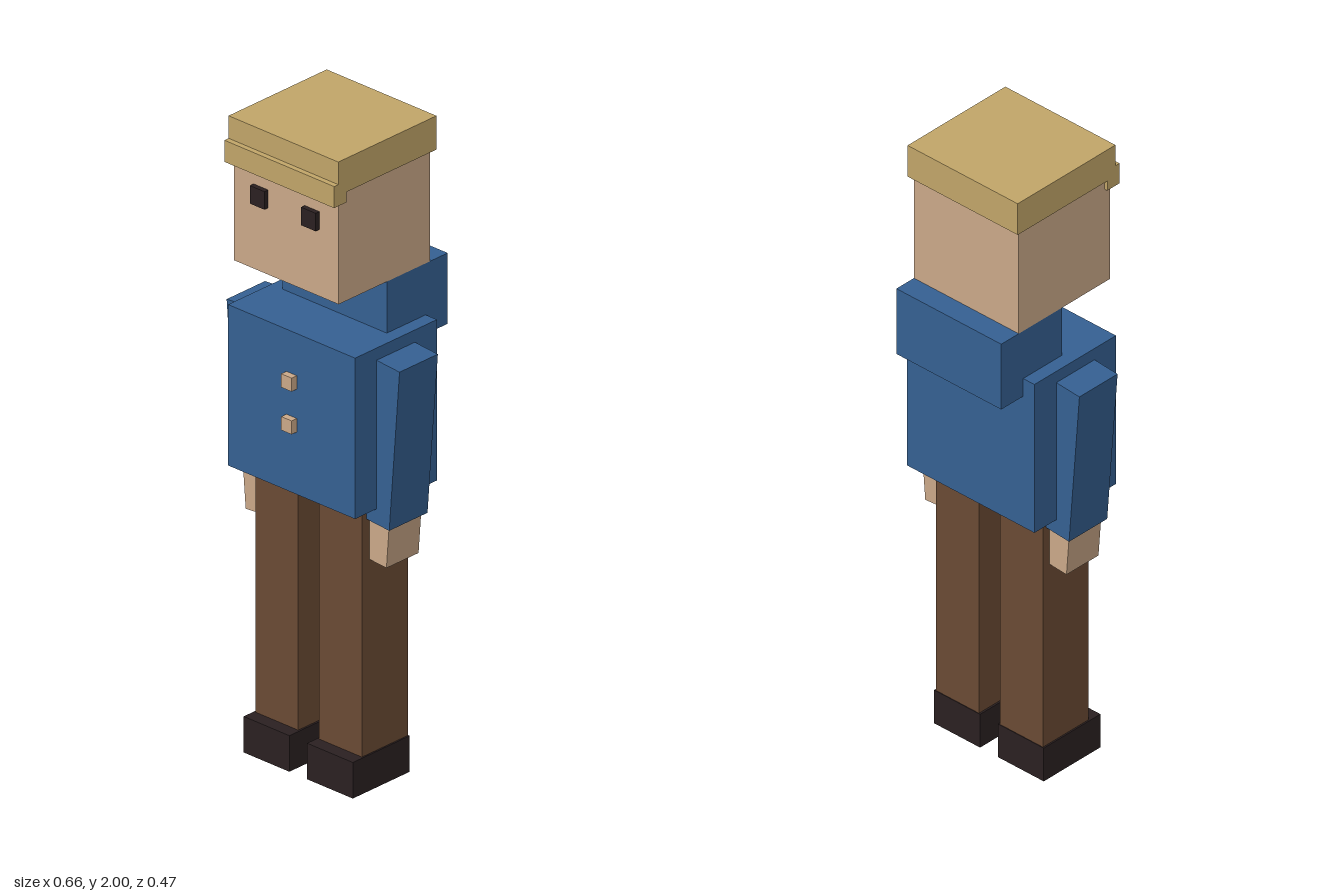
import * as THREE from 'three';

const flat = (name, color) => {
  const m = new THREE.MeshStandardMaterial({ color });
  m.name = name;
  return m;
};

export function createModel() {
  const skin = flat('skin', 0xcaa888);
  const blue = flat('blue cloth', 0x356092);
  const blond = flat('blond hair', 0xc1a568);
  const brown = flat('brown cloth', 0x6a4a34);
  const dark = flat('dark leather', 0x2a2021);

  const model = new THREE.Group();
  model.name = 'blockFigure';

  // Box given by its lower and upper limits on each axis
  const block = (name, material, [x0, x1], [y0, y1], [z0, z1], parent = model) => {
    const mesh = new THREE.Mesh(new THREE.BoxGeometry(x1 - x0, y1 - y0, z1 - z0), material);
    mesh.position.set((x0 + x1) / 2, (y0 + y1) / 2, (z0 + z1) / 2);
    mesh.name = name;
    parent.add(mesh);
  };

  // Head and hair
  block('head', skin, [-0.2, 0.2], [1.55, 1.92], [-0.165, 0.205]);
  block('hair', blond, [-0.21, 0.21], [1.895, 2], [-0.18, 0.217]);
  block('fringe', blond, [-0.21, 0.21], [1.863, 1.93], [0.184, 0.234]);

  // Jacket with hood and buttons
  block('torso', blue, [-0.243, 0.243], [0.89, 1.39], [-0.147, 0.184]);
  block('hood', blue, [-0.2, 0.2], [1.33, 1.55], [-0.236, 0.01]);
  for (const y of [1.105, 1.238])
    block('button', skin, [-0.02, 0.02], [y - 0.021, y + 0.021], [0.18, 0.205]);

  for (const s of [-1, 1]) {
    const side = s > 0 ? 'left' : 'right';
    const span = (a, b) => (s > 0 ? [a, b] : [-b, -a]);

    block(side + 'Eye', dark, span(0.07, 0.126), [1.757, 1.813], [0.2, 0.22]);
    block(side + 'Leg', brown, span(0.04, 0.204), [0.1, 0.9], [-0.071, 0.115]);
    block(side + 'Shoe', dark, span(0.034, 0.209), [0, 0.112], [-0.073, 0.157]);

    // Arm hangs from its outer top corner and leans inwards
    const arm = new THREE.Group();
    arm.name = side + 'Arm';
    arm.position.set(s * 0.331, 1.345, 0);
    arm.rotation.z = -s * 0.078;
    block(side + 'Sleeve', blue, span(-0.155, 0), [-0.508, 0], [-0.058, 0.097], arm);
    block(side + 'Hand', skin, span(-0.142, -0.012), [-0.637, -0.49], [-0.045, 0.085], arm);
    model.add(arm);
  }
  return model;
}
